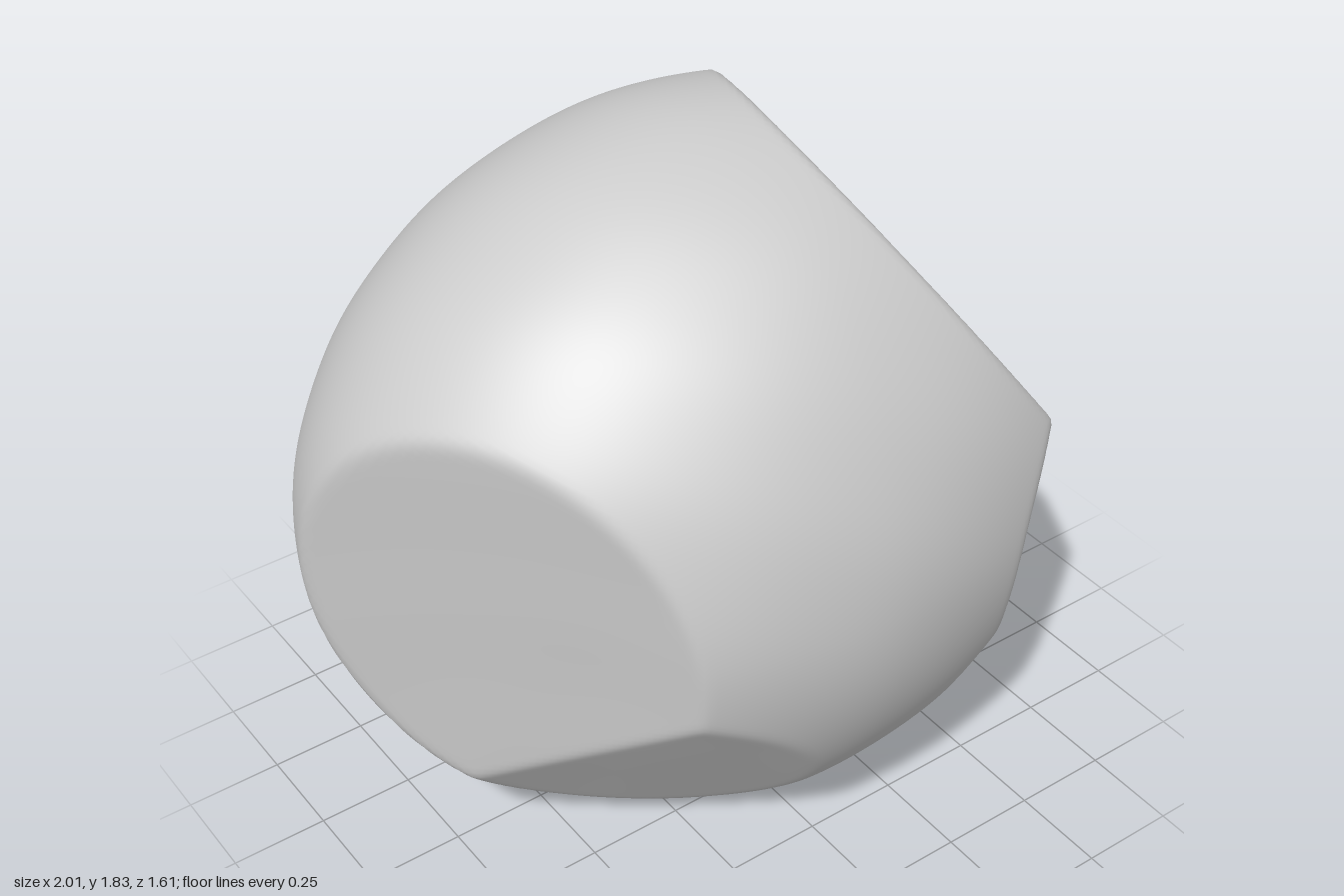
import * as THREE from 'three';
import { mergeVertices } from 'three/addons/utils/BufferGeometryUtils.js';

// Flat cuts through the stone: outward normal and n . p offset
const CUTS = [
  { n: [1, 0.76, 0.18], d: 1.535 },      // large upper cut on +x
  { n: [1, -2.8, -2.2], d: -0.34 },      // large lower back cut
  { n: [1, -0.635, 0.23], d: 0.4 },      // lower cut on +x
  { n: [1, -0.19, 1.02], d: 0.988 },     // small front cut on +x
  { n: [1, -0.9, 1.04], d: 0.567 },      // small lower front cut on +x
  { n: [-0.86, -0.07, 0.51], d: 0.72 },  // side cut on -x
  { n: [-0.45, -0.53, 0.64], d: 0.26 },  // lower front cut on -x
].map(({ n, d }) => ({ n: new THREE.Vector3(...n), d }));

const CENTER = new THREE.Vector3(0, 0.92, 0);
const SHARPNESS = 220; // higher gives crisper edges between cuts
const ROUNDNESS = 1.95; // 2 is a true ellipsoid, less is slightly pointed

// Distance from the centre to the surface along a unit direction
function surfaceRadius(dir) {
  const halfX = dir.x > 0 ? 1.19 : 1.04;
  const spread = Math.abs(dir.x / halfX) ** ROUNDNESS
    + Math.abs(dir.y / 0.925) ** ROUNDNESS
    + Math.abs(dir.z / 0.803) ** ROUNDNESS;
  let sum = Math.pow(spread, SHARPNESS / ROUNDNESS);
  for (const { n, d } of CUTS) {
    const facing = n.dot(dir);
    if (facing > 0) sum += Math.pow(facing / (d - n.dot(CENTER)), SHARPNESS);
  }
  // gentle hand-worked unevenness
  const wave = Math.sin(dir.x * 9 + dir.y * 5) * Math.sin(dir.y * 8 - dir.z * 7 + 1);
  return Math.pow(sum, -1 / SHARPNESS) * (1 + 0.002 * wave);
}

function buildStone() {
  let geometry = new THREE.IcosahedronGeometry(1, 60);
  geometry.deleteAttribute('normal');
  geometry.deleteAttribute('uv');
  geometry = mergeVertices(geometry, 1e-5);

  const position = geometry.attributes.position;
  const p = new THREE.Vector3();
  for (let i = 0; i < position.count; i++) {
    p.fromBufferAttribute(position, i).normalize();
    p.multiplyScalar(surfaceRadius(p)).add(CENTER);
    position.setXYZ(i, p.x, p.y, p.z);
  }

  // Stand on y = 0, centred
  geometry.computeBoundingBox();
  const { min, max } = geometry.boundingBox;
  geometry.translate(-(min.x + max.x) / 2, -min.y, -(min.z + max.z) / 2);
  geometry.computeVertexNormals();
  return geometry;
}

export function createModel() {
  const group = new THREE.Group();
  group.name = 'cutStone';
  const stoneGrey = new THREE.MeshStandardMaterial({ color: 0xcccccc });
  stoneGrey.name = 'stoneGrey';
  const stone = new THREE.Mesh(buildStone(), stoneGrey);
  stone.name = 'stone';
  group.add(stone);
  return group;
}
